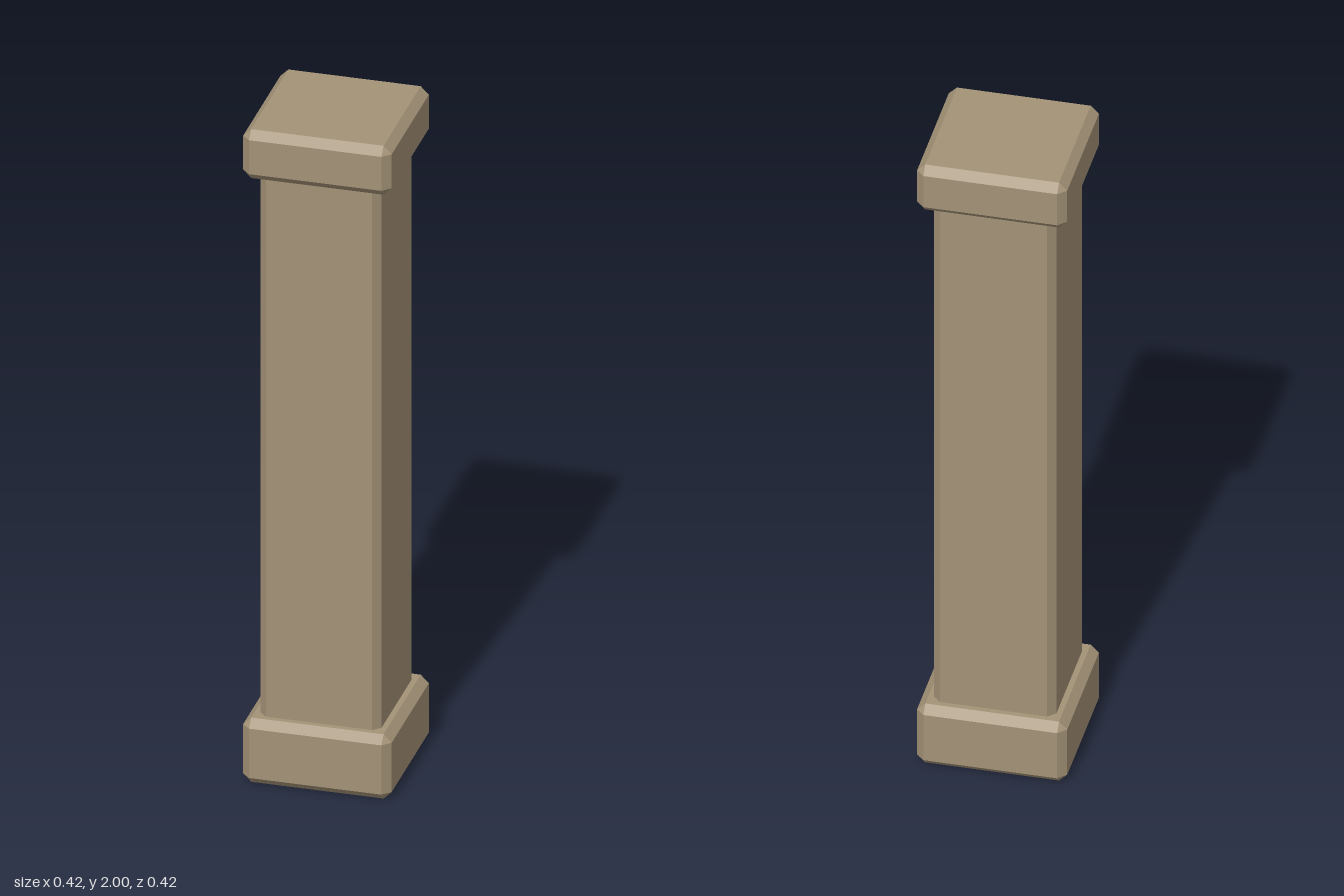
import * as THREE from 'three';
import { ConvexGeometry } from 'three/addons/geometries/ConvexGeometry.js';

const BEVEL = 0.023;

// Box with every edge and corner chamfered: three points near each corner.
function chamferedBox(half, bottom, top, bevel) {
  const h = (top - bottom) / 2;
  const points = [];
  for (const sx of [-1, 1]) for (const sy of [-1, 1]) for (const sz of [-1, 1]) {
    for (let axis = 0; axis < 3; axis++) {
      const inset = [bevel, bevel, bevel];
      inset[axis] = 0;
      points.push(new THREE.Vector3(
        sx * (half - inset[0]), sy * (h - inset[1]), sz * (half - inset[2])));
    }
  }
  const geometry = new ConvexGeometry(points);
  geometry.translate(0, (bottom + top) / 2, 0);
  return geometry;
}

export function createModel() {
  const group = new THREE.Group();
  group.name = 'pillar';

  const stone = new THREE.MeshStandardMaterial({ color: 0xa39277 });
  stone.name = 'tan stone';

  const add = (name, ...size) => {
    const mesh = new THREE.Mesh(chamferedBox(...size), stone);
    mesh.name = name;
    group.add(mesh);
  };

  // Plinth, square shaft sunk into both blocks, and capital
  add('base', 0.211, 0, 0.197, BEVEL);
  add('shaft', 0.172, 0.1, 1.92, 0.021);
  add('capital', 0.211, 1.85, 2, BEVEL);

  return group;
}
